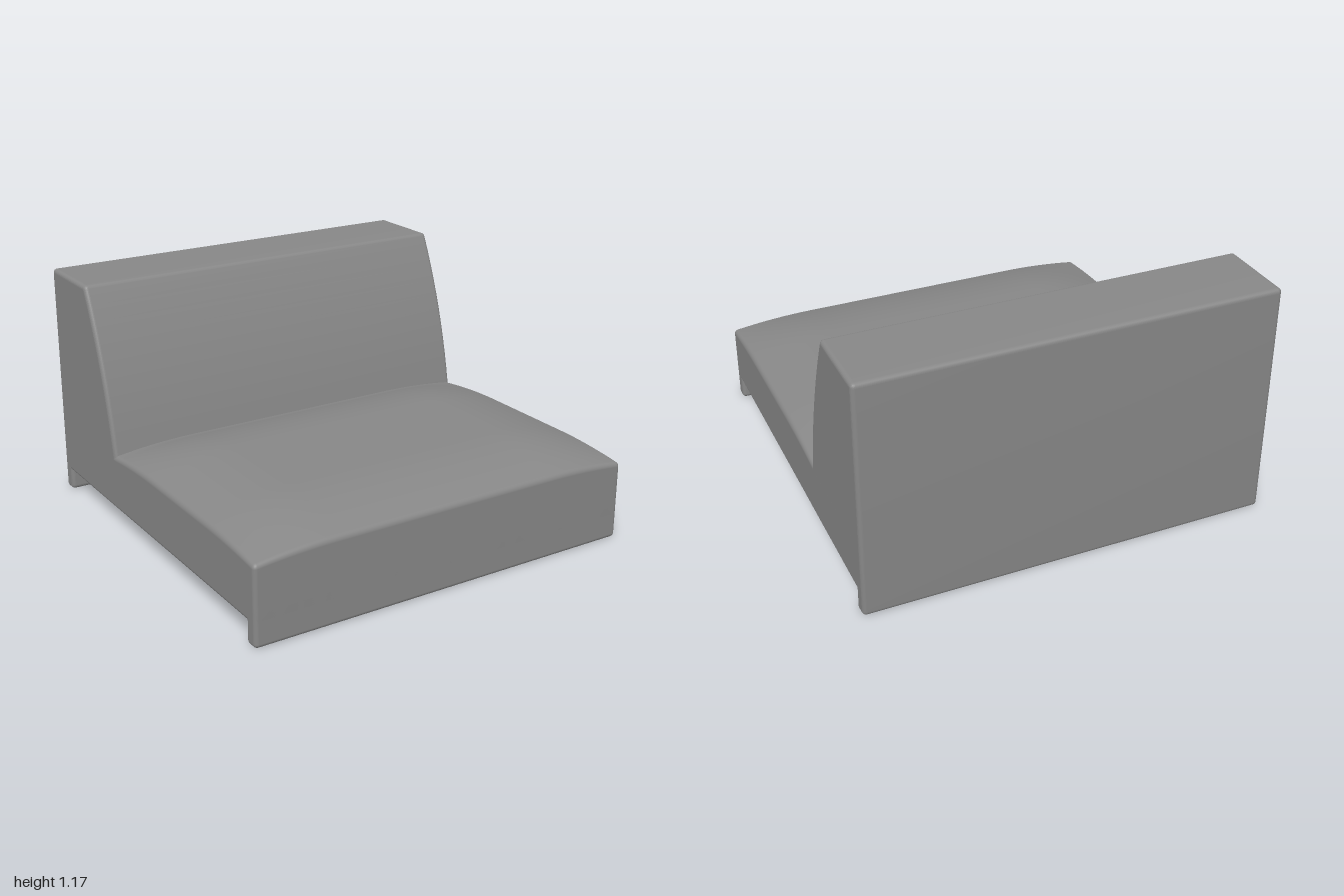
import * as THREE from 'three';
import { mergeVertices, toCreasedNormals } from 'three/addons/utils/BufferGeometryUtils.js';
import { RoundedBoxGeometry } from 'three/addons/geometries/RoundedBoxGeometry.js';

const R = 0.02; // edge rounding
const material = new THREE.MeshStandardMaterial({ color: 0x878787 });

// Eased rise from 0 at the cushion edge to 1 where it goes flat
function rise(distance) {
  const t = THREE.MathUtils.clamp(distance / 0.42, 0, 1);
  return 1 - (1 - t) ** 2;
}

// Height added to the seat's flat top
function dome(x, z) {
  const f = rise(1 - Math.abs(x));
  const g = rise(Math.min(1 - z, z + 0.35));
  return 0.027 * (f + g) + 0.048 * f * g;
}

// Seat block: finely divided box with rounded edges and a crowned top
function seatGeometry() {
  const K = 4; // steps across each rounded edge
  const n = [48, 12, 48];
  const lo = [-1, 0.107, -0.925];
  const hi = [1, 0.386, 1];
  const geo = new THREE.BoxGeometry(...n, ...n);
  geo.deleteAttribute('normal');
  geo.deleteAttribute('uv');
  const pos = geo.attributes.position;
  const inner = new THREE.Vector3();
  const off = new THREE.Vector3();
  for (let v = 0; v < pos.count; v++) {
    for (let a = 0; a < 3; a++) {
      const i = Math.round(pos.getComponent(v, a) + n[a] / 2);
      const t = THREE.MathUtils.clamp((i - K) / (n[a] - 2 * K), 0, 1);
      inner.setComponent(a, THREE.MathUtils.lerp(lo[a] + R, hi[a] - R, t));
      off.setComponent(a, i < K ? i / K - 1 : i > n[a] - K ? (i - n[a] + K) / K : 0);
    }
    const p = inner.add(off.setLength(R));
    const lift = (p.y - lo[1]) / (hi[1] - lo[1]);
    pos.setXYZ(v, p.x, p.y + lift * dome(p.x, p.z), p.z);
  }
  const merged = mergeVertices(geo, 1e-5);
  merged.computeVertexNormals();
  return merged;
}

// Backrest: side profile (z, y) with a curved front, run across the width
function backGeometry() {
  const c = 0.024;
  const s = new THREE.Shape();
  s.moveTo(-0.926, 0.107);
  s.lineTo(-0.926, c);
  s.quadraticCurveTo(-0.926, 0, -0.926 - c, 0);
  s.lineTo(-1 + c, 0);
  s.quadraticCurveTo(-1, 0, -1, c);
  s.lineTo(-1, 1.175 - c);
  s.quadraticCurveTo(-1, 1.175, -1 + c, 1.175);
  s.lineTo(-0.62, 1.175);
  s.quadraticCurveTo(-0.605, 1.175, -0.598, 1.16);
  s.quadraticCurveTo(-0.424, 0.8, -0.349, 0.385);
  s.lineTo(-0.349, 0.107);
  s.closePath();
  const geo = new THREE.ExtrudeGeometry(s, {
    depth: 2 - 2 * R,
    curveSegments: 10,
    bevelEnabled: true,
    bevelThickness: R,
    bevelSize: R,
    bevelOffset: -R,
    bevelSegments: 6,
  });
  geo.translate(0, 0, -1 + R);
  geo.rotateY(-Math.PI / 2);
  return toCreasedNormals(geo, 0.12);
}

export function createModel() {
  const group = new THREE.Group();
  group.name = 'armlessSofa';
  const add = (name, geometry) => {
    const mesh = new THREE.Mesh(geometry, material);
    mesh.name = name;
    group.add(mesh);
    return mesh;
  };

  add('seat', seatGeometry());
  add('backrest', backGeometry());

  // Full-width front foot panel, flush with the seat front
  add('frontFoot', new RoundedBoxGeometry(2, 0.26, 0.074, 4, R)).position.set(0, 0.13, 0.963);

  return group;
}
